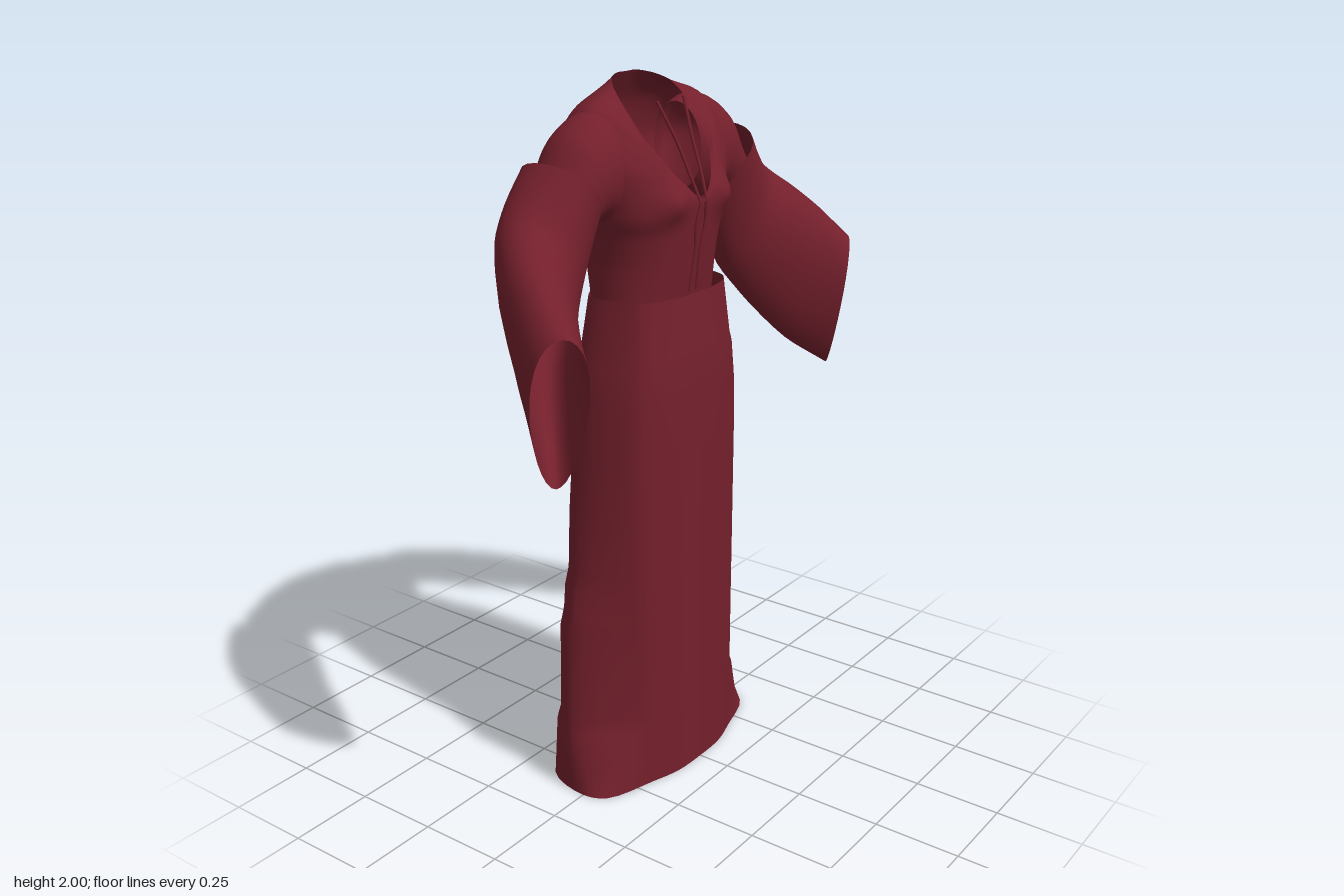
import * as THREE from 'three';

const cloth = new THREE.MeshStandardMaterial({ color: 0x74202c, side: THREE.DoubleSide });
const V = (x, y, z) => new THREE.Vector3(x, y, z);

// Skin a surface over closed rings that all have the same number of points
function loft(rings) {
  const n = rings[0].length, pos = [], index = [];
  rings.forEach(ring => ring.forEach(p => pos.push(p.x, p.y, p.z)));
  for (let r = 0; r < rings.length - 1; r++) {
    for (let i = 0; i < n; i++) {
      const a = r * n + i, b = r * n + (i + 1) % n;
      index.push(a, b, b + n, a, b + n, a + n);
    }
  }
  const g = new THREE.BufferGeometry();
  g.setAttribute('position', new THREE.Float32BufferAttribute(pos, 3));
  g.setIndex(index);
  g.computeVertexNormals();
  return g;
}

// Half section (front centre to back centre) mirrored into a smooth closed ring
function ringFromHalf(half, per = 4) {
  const other = half.slice(1, -1).reverse().map(p => V(-p.x, p.y, p.z));
  const pts = [...half, ...other];
  const curve = new THREE.CatmullRomCurve3(pts, true, 'centripetal');
  const out = [];
  for (let i = 0; i < pts.length * per; i++) out.push(curve.getPoint(i / (pts.length * per)));
  return out;
}

// Smooth extra rings between the given ones
function smoothRings(rings, steps) {
  const curves = rings[0].map((_, i) =>
    new THREE.CatmullRomCurve3(rings.map(r => r[i]), false, 'catmullrom', 0.4));
  return Array.from({ length: steps + 1 }, (_, s) => curves.map(c => c.getPoint(s / steps)));
}

function add(group, name, geometry) {
  const mesh = new THREE.Mesh(geometry, cloth);
  mesh.name = name;
  group.add(mesh);
  return mesh;
}

// Long skirt: height, half width, front depth, back depth, forward flare of the hem corners
function skirtGeometry() {
  const rows = [
    [0, .372, .152, -.247, 1], [.07, .366, .152, -.245, .6], [.18, .358, .152, -.242, .3],
    [.215, .34, .152, -.24, 0], [.48, .338, .152, -.232, 0], [.53, .32, .152, -.23, 0],
    [.6, .315, .152, -.226, 0], [.65, .297, .152, -.224, 0], [.82, .29, .152, -.22, 0],
    [1, .273, .152, -.216, 0], [1.15, .265, .152, -.213, 0], [1.25, .25, .15, -.21, 0],
    [1.28, .24, .146, -.195, 0], [1.435, .22, .13, -.165, 0]
  ];
  return loft(rows.map(([y, w, f, b, flare]) => {
    const corner = Math.min(.245, w * .9);
    return ringFromHalf([
      V(0, y, f), V(corner * .42, y, f * .97), V(corner * .8, y, f * .8),
      V(corner + .1 * flare, y, f * .52 - .012 * flare), V(w, y, -.06 + .06 * flare),
      V(w * .88, y, b * .57), V(w * .42, y, b * .83), V(w * .18, y, b * .89), V(0, y, b)
    ]);
  }));
}

// Fitted bodice rising into the shoulders and an open V neckline
function bodiceGeometry() {
  const lower = [
    [1.41, .198, .105, -.14], [1.52, .2, .12, -.16], [1.6, .215, .13, -.175], [1.66, .24, .138, -.187]
  ].map(([y, w, f, b]) => [
    V(0, y, f), V(w * .35, y, f * .97), V(w * .66, y, f * .78), V(w * .9, y, f * .35),
    V(w, y, -.03), V(w * .92, y, b * .64), V(w * .7, y, b * .88), V(w * .35, y, b * .97), V(0, y, b)
  ]);
  const upper = [
    [[0, 1.675, .14], [.075, 1.715, .134], [.15, 1.76, .102], [.24, 1.79, .05], [.29, 1.82, -.05],
      [.26, 1.81, -.15], [.18, 1.8, -.185], [.08, 1.8, -.192], [0, 1.8, -.19]],
    [[0, 1.683, .14], [.068, 1.73, .127], [.14, 1.83, .08], [.2, 1.895, .025], [.235, 1.93, -.05],
      [.2, 1.92, -.13], [.135, 1.915, -.158], [.07, 1.91, -.166], [0, 1.91, -.165]],
    [[0, 1.69, .14], [.06, 1.735, .123], [.12, 1.82, .07], [.135, 1.9, .01], [.125, 1.965, -.05],
      [.1, 1.985, -.08], [.07, 1.995, -.1], [.04, 2, -.11], [0, 2, -.11]]
  ].map(row => row.map(p => V(...p)));
  const rings = smoothRings([...lower, ...upper].map(h => ringFromHalf(h)), 42);
  // Soft fullness at the chest
  rings.flat().forEach(p => {
    if (p.z > .03) {
      const d = (Math.abs(p.x) - .115) ** 2 + (p.y - 1.69) ** 2;
      p.z += .026 * Math.exp(-d / .0018);
    }
  });
  return loft(rings);
}

// Arm tube from stations: top point, bottom point, sideways half axis; egg widens the top
function armGeometry(stations, steps, egg) {
  const rings = stations.map(([top, bottom, side]) => {
    const t = V(...top), b = V(...bottom), s = V(...side);
    const mid = t.clone().add(b).multiplyScalar(.5), long = t.clone().sub(mid);
    return Array.from({ length: 28 }, (_, i) => {
      const a = i / 28 * Math.PI * 2, c = Math.cos(a);
      return mid.clone().addScaledVector(long, c).addScaledVector(s, Math.sin(a) * (1 + egg * c));
    });
  });
  return loft(smoothRings(rings, steps));
}

export function createModel() {
  const robe = new THREE.Group();
  robe.name = 'robe';
  add(robe, 'skirt', skirtGeometry());
  add(robe, 'bodice', bodiceGeometry());

  // Short shoulder tube growing out of the bodice and tucked into the wide sleeve
  const shoulder = armGeometry([
    [[.15, 1.91, -.055], [.16, 1.67, -.05], [0, 0, .08]],
    [[.22, 1.928, -.055], [.2, 1.64, -.05], [0, 0, .106]],
    [[.275, 1.912, -.055], [.225, 1.635, -.05], [0, 0, .113]],
    [[.335, 1.87, -.055], [.245, 1.645, -.05], [0, 0, .108]],
    [[.385, 1.79, -.055], [.28, 1.64, -.05], [0, 0, .1]],
    [[.43, 1.73, -.05], [.32, 1.57, -.05], [0, 0, .095]]
  ], 20, 0);

  // Wide bell sleeve ending in a tall open cuff
  const sleeve = armGeometry([
    [[.415, 1.82, -.055], [.25, 1.66, -.05], [0, 0, .112]],
    [[.475, 1.75, -.05], [.305, 1.54, -.055], [-.015, 0, .11]],
    [[.53, 1.69, -.025], [.37, 1.405, -.05], [-.035, 0, .098]],
    [[.59, 1.625, .05], [.46, 1.285, -.01], [-.052, 0, .078]],
    [[.63, 1.56, .125], [.55, 1.165, .07], [-.057, 0, .06]],
    [[.668, 1.475, .21], [.645, 1.08, .16], [-.055, 0, .046]]
  ], 20, .22);

  // Neck lace standing free, and lace hanging down the bodice front
  const tube = pts => new THREE.TubeGeometry(
    new THREE.CatmullRomCurve3(pts.map(p => V(...p))), 20, .0045, 6);
  const neckLace = tube([[.015, 1.685, .143], [.025, 1.75, .118], [.036, 1.84, .08], [.06, 1.94, .035]]);
  const frontLace = tube([[.012, 1.68, .143], [.02, 1.62, .135], [.012, 1.55, .125], [.016, 1.435, .11]]);

  for (const [side, s] of [['left', 1], ['right', -1]]) {
    const parts = { Shoulder: shoulder, Sleeve: sleeve, NeckLace: neckLace, FrontLace: frontLace };
    for (const [name, geometry] of Object.entries(parts)) add(robe, side + name, geometry).scale.x = s;
  }
  return robe;
}
